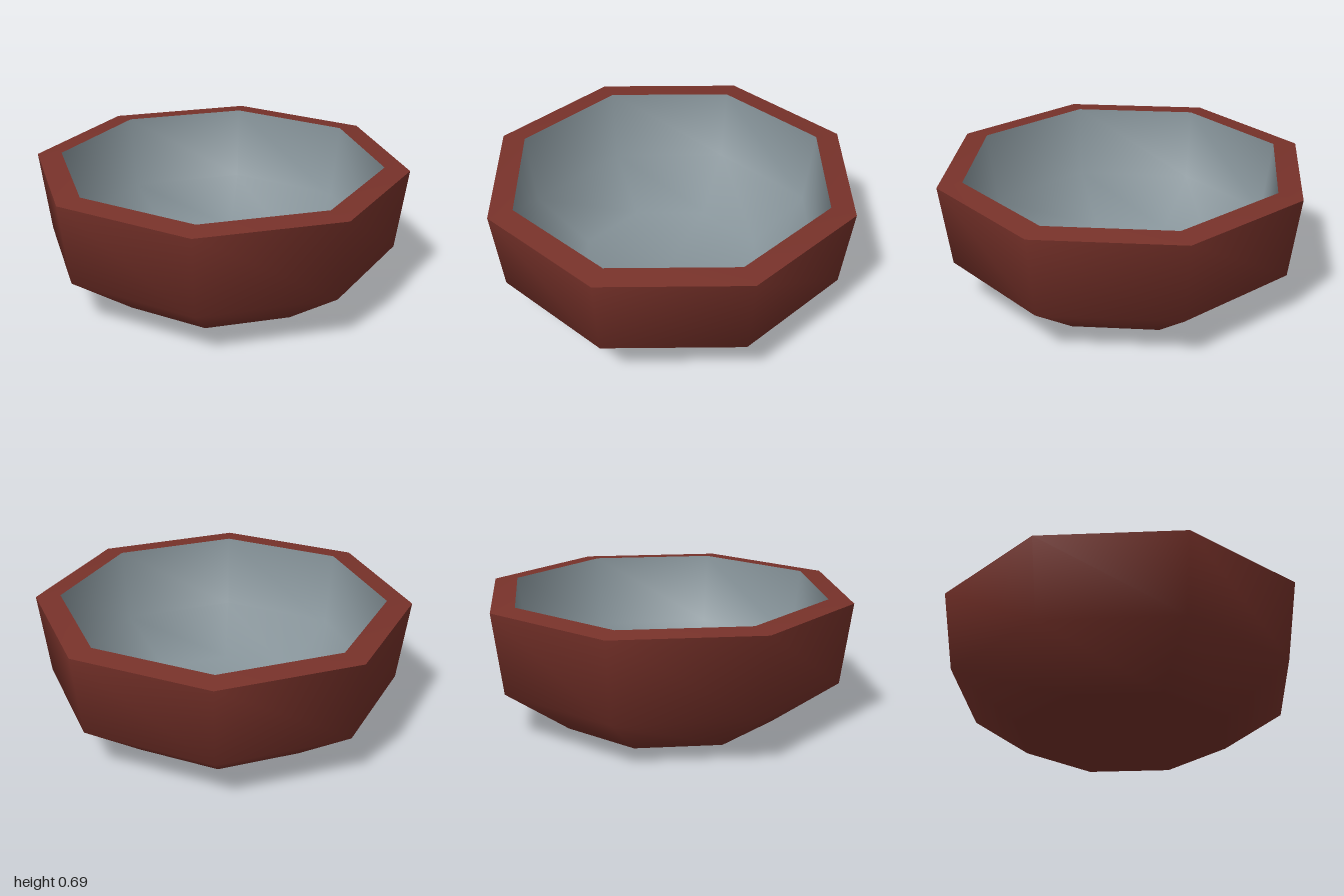
import * as THREE from 'three';
import { mergeVertices } from 'three/addons/utils/BufferGeometryUtils.js';

export function createModel() {
  const group = new THREE.Group();
  const clay = new THREE.MeshStandardMaterial({ color: 0x78322a });
  clay.name = 'red clay';
  const glaze = new THREE.MeshStandardMaterial({ color: 0x869399 });
  glaze.name = 'grey glaze';

  // Eight-sided turned surface with smooth, area-weighted normals
  const turn = (name, material, profile) => {
    const points = profile.map(([r, y]) => new THREE.Vector2(r, y));
    const lathe = new THREE.LatheGeometry(points, 8);
    lathe.deleteAttribute('uv');
    lathe.deleteAttribute('normal');
    const geometry = mergeVertices(lathe);
    geometry.computeVertexNormals();
    const mesh = new THREE.Mesh(geometry, material);
    mesh.name = name;
    group.add(mesh);
  };

  // Base, sloping foot and outer wall
  turn('outerShell', clay, [[0, 0], [0.59, 0], [0.94, 0.247], [1, 0.682]]);
  // Rim, rising slightly towards the inside
  turn('rim', clay, [[1, 0.682], [0.867, 0.695]]);
  // Hollow inside: steep wall, sloping foot and flat floor
  turn('innerBowl', glaze, [[0.867, 0.695], [0.812, 0.3], [0.51, 0.085], [0, 0.085]]);

  return group;
}
